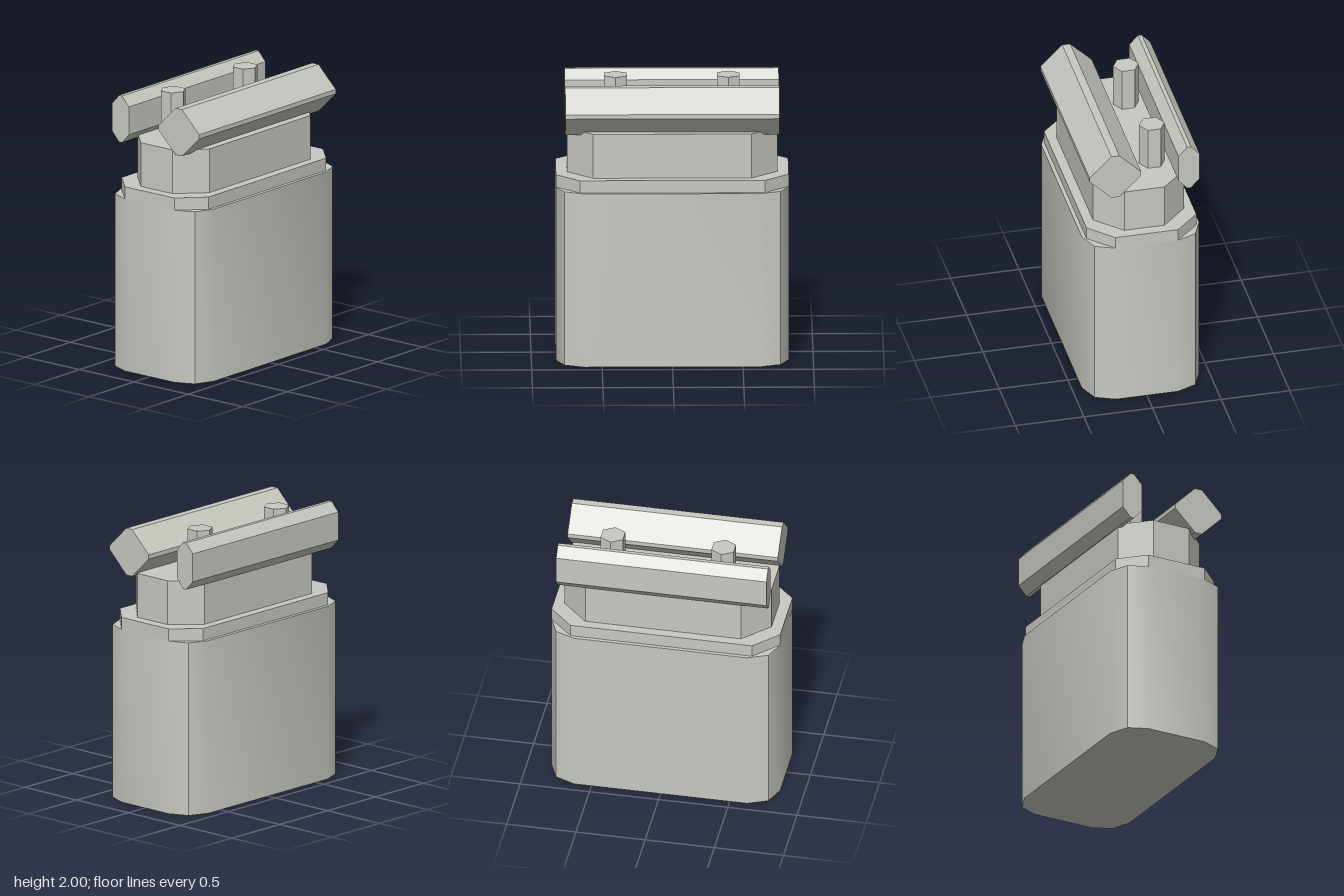
import * as THREE from 'three';
import { toCreasedNormals } from 'three/addons/utils/BufferGeometryUtils.js';

const paleGrey = new THREE.MeshStandardMaterial({ name: 'paleGrey', color: 0xc9c9c2 });

// Straight extrusion of a closed outline along +z; only shallow corners are smoothed
function prism(points, depth) {
  const shape = new THREE.Shape(points.map(([x, y]) => new THREE.Vector2(x, y)));
  const geo = new THREE.ExtrudeGeometry(shape, { depth, bevelEnabled: false });
  return toCreasedNormals(geo, THREE.MathUtils.degToRad(30));
}

// Mirror one quadrant (listed counter-clockwise) into a full outline
function mirrorQuadrant(q) {
  const r = [...q].reverse();
  return [
    ...q,
    ...r.map(([x, z]) => [-x, z]),
    ...q.map(([x, z]) => [-x, -z]),
    ...r.map(([x, z]) => [x, -z]),
  ];
}

export function createModel() {
  const model = new THREE.Group();
  const add = (name, geo) => {
    const mesh = new THREE.Mesh(geo, paleGrey);
    mesh.name = name;
    model.add(mesh);
    return mesh;
  };

  // Stacked upright blocks
  const block = (name, quadrant, y0, y1) =>
    add(name, prism(mirrorQuadrant(quadrant), y1 - y0).rotateX(-Math.PI / 2).translate(0, y0, 0));
  block('body', [[0.427, 0.625], [0.367, 0.767], [0.228, 0.826]], 0, 1.27);
  block('collar', [[0.4, 0.655], [0.228, 0.826]], 1.27, 1.36);
  block('neck', [[0.331, 0.562], [0.146, 0.747]], 1.36, 1.682);

  // Two hexagonal pegs on the neck
  for (const z of [-0.4, 0.4]) {
    const peg = add('peg', new THREE.CylinderGeometry(0.093, 0.093, 0.32, 6, 1, false, Math.PI / 6).toNonIndexed());
    peg.geometry.computeVertexNormals();
    peg.position.set(-0.136, 1.84, z);
  }

  // Long chamfered rails, each centred at (x, 1.828)
  const rail = (name, x, quadrant) =>
    add(name, prism(mirrorQuadrant(quadrant), 1.52).translate(x, 1.828, -0.76));
  rail('wideRail', 0.214, [[0.188, 0.016], [0.029, 0.172]]);
  rail('narrowRail', -0.323, [[0.077, 0.103], [0.014, 0.172]]);

  return model;
}
